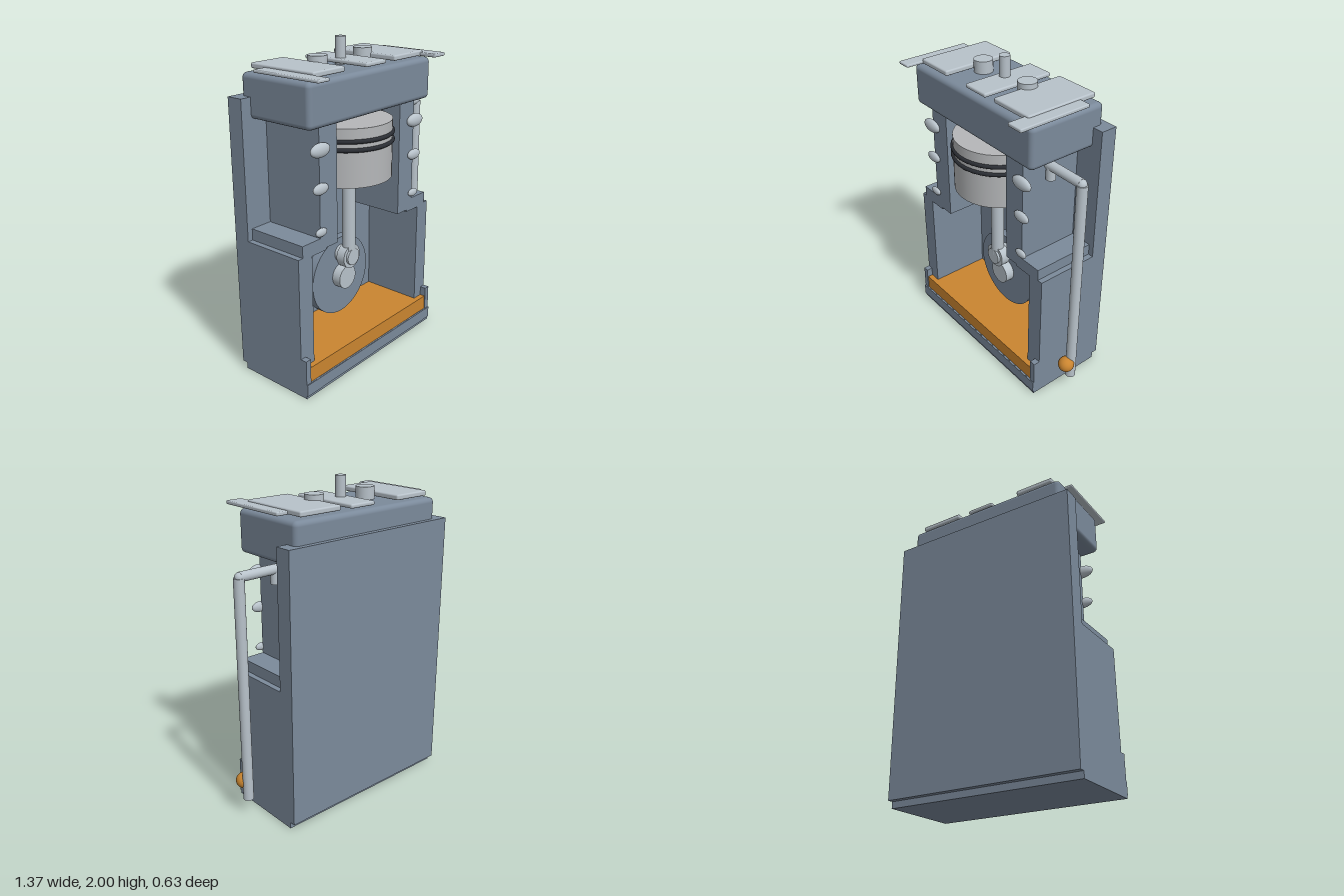
import * as THREE from 'three';
import { RoundedBoxGeometry } from 'three/addons/geometries/RoundedBoxGeometry.js';

const mat = (name, color) => {
  const m = new THREE.MeshStandardMaterial({ color });
  m.name = name;
  return m;
};

export function createModel() {
  const slate = mat('slate casting', 0x7b8a9b);
  const steel = mat('light steel', 0xb8c2ca);
  const pistonGrey = mat('piston grey', 0xb5b7b9);
  const dark = mat('dark ring', 0x2b2e34);
  const amber = mat('amber oil', 0xca8530);
  const model = new THREE.Group();
  model.name = 'engineCutaway';
  const CX = -0.075; // centre line of the engine

  const add = (name, geo, material, x = 0, y = 0, z = 0) => {
    const m = new THREE.Mesh(geo, material);
    m.name = name;
    m.position.set(x, y, z);
    model.add(m);
    return m;
  };
  // Box given by its limits; r rounds the edges
  const box = (name, material, x0, x1, y0, y1, z0, z1, r = 0) => {
    const s = [x1 - x0, y1 - y0, z1 - z0];
    const geo = r ? new RoundedBoxGeometry(...s, 3, r) : new THREE.BoxGeometry(...s);
    return add(name, geo, material, (x0 + x1) / 2, (y0 + y1) / 2, (z0 + z1) / 2);
  };
  // Upright cylinder
  const post = (name, material, r, y0, y1, x, z) =>
    add(name, new THREE.CylinderGeometry(r, r, y1 - y0, 40), material, x, (y0 + y1) / 2, z);
  // Cylinder lying along z
  const disc = (name, material, r, z0, z1, y) => {
    const m = add(name, new THREE.CylinderGeometry(r, r, z1 - z0, 48), material, CX, y, (z0 + z1) / 2);
    m.rotation.x = Math.PI / 2;
  };

  // Back panel and base tray
  box('backPanel', slate, -0.69, 0.54, 0.04, 1.71, -0.315, -0.21);
  box('baseTray', slate, -0.69, 0.54, 0, 0.095, -0.28, 0.23);
  box('baseLip', slate, -0.69, 0.54, 0.02, 0.094, 0.22, 0.237);
  box('oil', amber, -0.652, 0.502, 0.095, 0.19, -0.21, 0.225);

  // Stepped side walls of the crankcase and cylinder, mirrored about the centre line
  const profile = [
    [0.505, 0.09], [0.615, 0.09], [0.615, 0.875], [0.58, 0.875], [0.58, 0.945], [0.435, 0.945],
    [0.435, 1.6], [0.29, 1.6], [0.29, 0.875], [0.385, 0.875], [0.385, 0.862], [0.505, 0.862],
  ];
  for (const s of [-1, 1]) {
    const side = s > 0 ? 'left' : 'right';
    const shape = new THREE.Shape(profile.map(([x, y]) => new THREE.Vector2(CX + s * x, y)));
    add(side + 'Wall', new THREE.ExtrudeGeometry(shape, { depth: 0.4, bevelEnabled: false }), slate, 0, 0, -0.21);
    const xs = [CX + s * 0.577, CX + s * 0.615].sort((a, b) => a - b);
    box(side + 'CornerPost', slate, xs[0], xs[1], 0.09, 0.25, 0.18, 0.23);

    // Flattened studs on the cut faces, shrinking downward
    for (const [y, rx, ry, rz] of [[1.46, 0.075, 0.041, 0.027], [1.24, 0.06, 0.033, 0.021], [0.985, 0.045, 0.025, 0.016]]) {
      add(side + 'Stud', new THREE.SphereGeometry(1, 28, 18), steel, CX + s * 0.435, y, 0.198).scale.set(rx, ry, rz);
    }
  }

  // Cylinder head with cover plates and bosses
  box('cylinderHead', slate, -0.62, 0.47, 1.585, 1.84, -0.283, 0.228, 0.03);
  box('rightCover', steel, -0.56, -0.31, 1.853, 1.885, -0.263, 0.207, 0.01);
  box('centreCover', steel, -0.127, 0.053, 1.851, 1.876, -0.263, 0.207, 0.01);
  box('leftCover', steel, 0.13, 0.418, 1.853, 1.885, -0.263, 0.207, 0.01);
  box('rightTab', steel, -0.643, -0.555, 1.852, 1.87, -0.155, 0.315, 0.007);
  box('leftTab', steel, 0.384, 0.489, 1.852, 1.874, -0.155, 0.315, 0.007);
  post('rightBoss', steel, 0.057, 1.83, 1.916, -0.273, -0.03);
  post('leftBoss', steel, 0.057, 1.83, 1.916, 0.127, -0.03);
  post('centreStem', steel, 0.032, 1.83, 2.0, CX, -0.03);

  // Piston and its rings
  post('piston', pistonGrey, 0.277, 1.18, 1.53, CX, 0.01);
  for (const y of [1.405, 1.455]) {
    add('pistonRing', new THREE.TorusGeometry(0.277, 0.0135, 10, 64), dark, CX, y, 0.01).rotation.x = Math.PI / 2;
  }

  // Connecting rod and crank
  post('connectingRod', steel, 0.041, 0.66, 1.2, CX, 0.03);
  disc('crankWeb', slate, 0.26, -0.1, -0.04, 0.49);
  disc('mainJournal', steel, 0.077, -0.21, 0.02, 0.49);
  disc('rodBigEnd', steel, 0.077, -0.005, 0.055, 0.645);
  disc('crankPin', steel, 0.054, -0.05, 0.07, 0.645);

  // Outside oil pipe: short drop, cross run, long drop
  post('pipeInlet', steel, 0.029, 1.43, 1.515, 0.385, 0.01);
  const run = post('pipeRun', steel, 0.029, 0, 0.26, 0, 0.01);
  run.position.set(0.5, 1.515, 0.01);
  run.rotation.z = Math.PI / 2;
  post('pipeDrop', steel, 0.032, 0.11, 1.51, 0.634, 0.01);
  for (const x of [0.372, 0.63]) {
    add('pipeElbow', new THREE.SphereGeometry(0.029, 24, 16), steel, x, 1.513, 0.01);
  }
  add('oilDrop', new THREE.SphereGeometry(0.05, 32, 20), amber, 0.634, 0.22, 0.05);

  return model;
}
